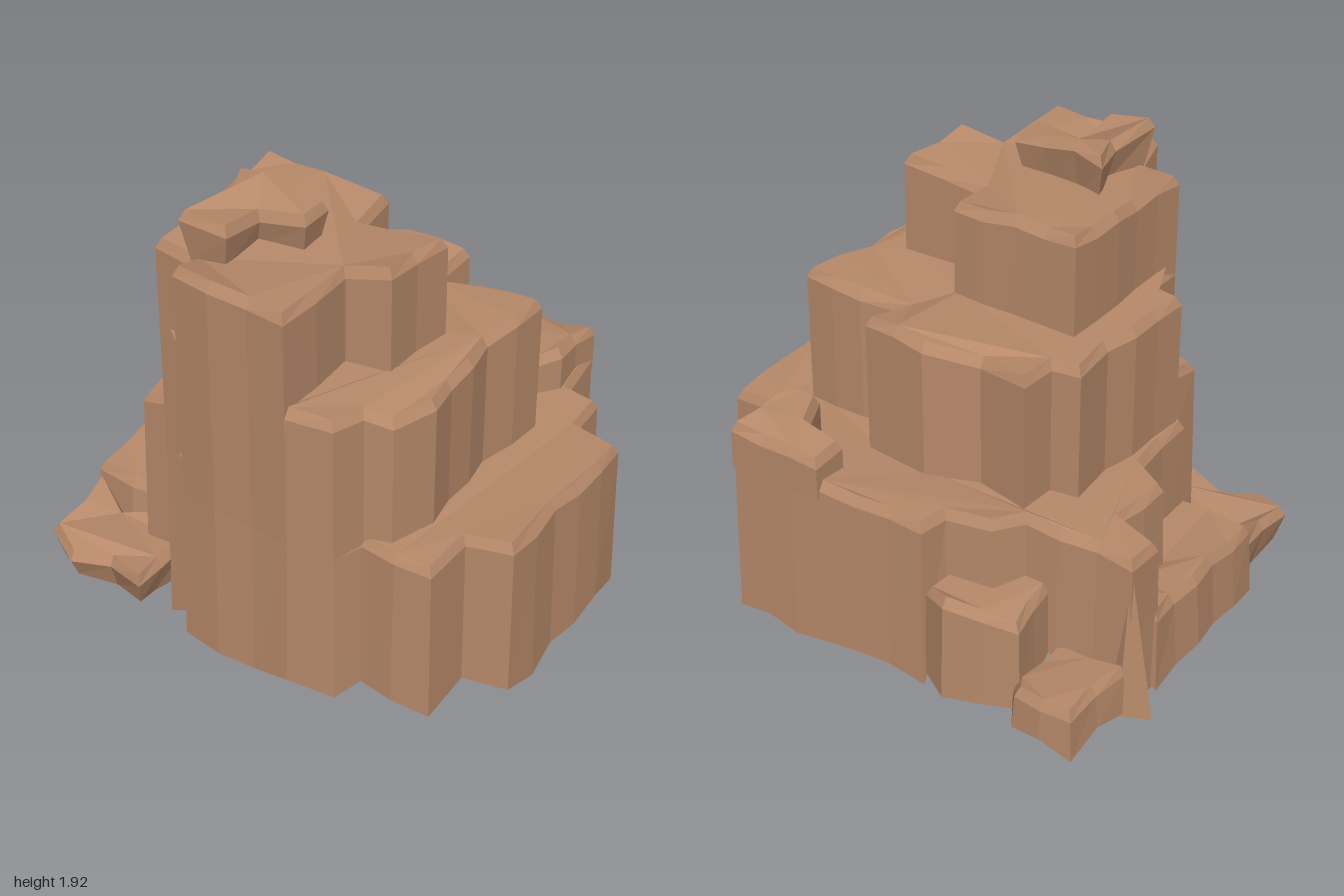
import * as THREE from 'three';

const rock = new THREE.MeshStandardMaterial({ color: 0xb88a6a, side: THREE.DoubleSide });
rock.name = 'sandstone';

// Position-based noise in -1..1, so shared cliff edges stay aligned
const noise = (x, z, k) => {
  const s = Math.sin(x * 127.1 + z * 311.7 + k * 74.7) * 43758.5453;
  return (s - Math.floor(s)) * 2 - 1;
};

// Outward direction of the outline at each point (outlines run back, right, front, left)
function outward(pts) {
  return pts.map((p, i) => {
    const a = pts[(i + pts.length - 1) % pts.length], b = pts[(i + 1) % pts.length];
    const n1 = new THREE.Vector2(p[1] - a[1], a[0] - p[0]).normalize();
    const n2 = new THREE.Vector2(b[1] - p[1], p[0] - b[0]).normalize();
    return n1.add(n2).normalize();
  });
}

// Break long edges into slightly uneven facets
function weather(pts) {
  const out = [];
  pts.forEach((a, i) => {
    const b = pts[(i + 1) % pts.length];
    const dx = b[0] - a[0], dz = b[1] - a[1], len = Math.hypot(dx, dz);
    const n = Math.max(1, Math.round(len / 0.15));
    out.push(a);
    for (let k = 1; k < n; k++) {
      const t = k / n, x = a[0] + dx * t, z = a[1] + dz * t, j = noise(x, z, 1) * 0.014;
      const mix = c => (a[c] || 0) * (1 - t) + (b[c] || 0) * t;
      out.push([x + dz / len * j, z - dx / len * j, mix(2) + noise(x, z, 2) * 0.012, mix(3)]);
    }
  });
  return out;
}

// Cliff wall with a worn rim and a cap; outline points are [x, z, topLift, bottomLift]
function ledge(name, outline, y0, y1, { hole = null, jag = 0, flare = 0 } = {}) {
  const pts = weather(outline), nrm = outward(pts), pos = [];
  const ring = (inset, yOf) => pts.map((p, i) =>
    [p[0] - nrm[i].x * inset, yOf(p), p[1] - nrm[i].y * inset]);
  const top = p => y1 + (p[2] || 0);
  const rings = [
    ring(-flare, p => y0 + (p[3] || 0) + noise(p[0], p[1], 3) * jag),
    ring(0, p => top(p) - 0.04),
    ring(0.025, top),
  ];
  for (let r = 0; r < 2; r++) {
    const lo = rings[r], hi = rings[r + 1];
    for (let i = 0; i < pts.length; i++) {
      const j = (i + 1) % pts.length;
      pos.push(...lo[j], ...lo[i], ...hi[i], ...lo[j], ...hi[i], ...hi[j]);
    }
  }
  // Cap, left open beneath the next ledge
  const inner = hole ? hole.map(p => [p[0], y1, p[1]]) : [];
  const flat = v => new THREE.Vector2(v[0], v[2]);
  const all = rings[2].concat(inner);
  const tris = THREE.ShapeUtils.triangulateShape(rings[2].map(flat), hole ? [inner.map(flat)] : []);
  for (const [a, b, c] of tris) {
    const A = all[a], B = all[b], C = all[c];
    const up = (B[2] - A[2]) * (C[0] - A[0]) - (B[0] - A[0]) * (C[2] - A[2]) > 0;
    pos.push(...A, ...(up ? B : C), ...(up ? C : B));
  }
  const geo = new THREE.BufferGeometry();
  geo.setAttribute('position', new THREE.Float32BufferAttribute(pos, 3));
  geo.computeVertexNormals();
  const mesh = new THREE.Mesh(geo, rock);
  mesh.name = name;
  return mesh;
}

const shrink = (pts, cx, cz, s) => pts.map(p => [cx + (p[0] - cx) * s, cz + (p[1] - cz) * s]);

export function createModel() {
  const model = new THREE.Group();
  model.name = 'terracedRock';

  // Tall front cliff shared by the main ledges
  const front = [[0.28, 0.77, 0.01], [-0.2, 0.74, 0.02], [-0.22, 0.6, -0.03], [-0.4, 0.58, -0.02, -0.135]];

  const tower = [[-0.4, -0.1, 0.02], [0.13, -0.1], [0.14, 0.08, -0.02], [0.48, 0.06, 0.02],
    [0.45, 0.37, 0.04], [0.28, 0.4], ...front];

  const middle = [[-0.42, -0.43], [-0.2, -0.39, -0.02], [0, -0.47, 0.01], [0.27, -0.45, 0.02],
    [0.24, -0.25, -0.02], [0.42, -0.3], [0.67, -0.3, 0.02], [0.62, 0], [0.66, 0.4, -0.02],
    [0.6, 0.58, -0.02], [0.5, 0.61], [0.46, 0.74, 0.01], ...front,
    [-0.42, 0.39], [-0.56, 0.37], [-0.55, 0.08], [-0.52, -0.06], [-0.54, -0.26], [-0.43, -0.28]];

  // Bottom edges are raised where a lower block stands in front
  const lower = [[-0.46, -0.47, 0.01, 0.3], [-0.4, -0.6, 0.03, 0.33], [-0.22, -0.63, 0.02, 0.33],
    [-0.2, -0.75, 0.02], [0.25, -0.77, 0.03], [0.64, -0.79, 0.04], [0.65, -0.6], [0.78, -0.59, -0.01],
    [0.79, -0.42, -0.01], [0.97, -0.41, -0.03], [0.975, 0.37, 0.01], [0.8, 0.41], [0.79, 0.62, -0.01],
    [0.5, 0.62], [0.46, 0.74], ...front, [-0.42, 0.4], [-0.58, 0.4, 0, 0.15], [-0.6, 0.08, 0, 0.2],
    [-0.74, 0, 0, 0.2], [-0.72, -0.25, 0, 0.2], [-0.9, -0.28, -0.03], [-0.9, -0.45, -0.02], [-0.6, -0.47, 0, 0.1]];

  model.add(
    ledge('lowerLedge', lower, 0.12, 0.8, { hole: shrink(middle, 0.1, 0.1, 0.95), jag: 0.03, flare: 0.015 }),
    ledge('middleLedge', middle, 0.75, 1.35, { hole: shrink(tower, 0, 0.3, 0.94) }),
    ledge('tower', tower, 1.3, 1.73),
  );

  // Bent crown stone on the summit, wider at its top
  model.add(ledge('crown', [[-0.28, 0.24, 0.01], [-0.15, 0.25, 0.04], [0.11, 0.25, 0],
    [0.11, 0.39, 0], [-0.07, 0.41, -0.03], [-0.07, 0.6, 0], [-0.26, 0.62, 0.02], [-0.22, 0.42, -0.01]],
  1.68, 1.87, { flare: -0.04 }));

  // Raised stone along the back ledge
  model.add(ledge('backStone', [[0.25, -0.78, -0.03], [0.64, -0.8], [0.63, -0.56, 0.02], [0.57, -0.47, 0.01],
    [0.48, -0.48, 0.01], [0.42, -0.61], [0.25, -0.63, -0.02]], 0.76, 0.96));

  // Low blocks stepping down around the flank, open on their buried sides
  model.add(
    ledge('backBlock', [[-0.6, -0.71, -0.02], [-0.32, -0.79, 0.02], [-0.21, -0.74], [-0.22, -0.62, 0, 0.35],
      [-0.4, -0.59, 0, 0.35], [-0.45, -0.46, 0, 0.35], [-0.56, -0.46, 0, 0.15]], 0.13, 0.55, { jag: 0.03, flare: 0.01 }),
    ledge('cornerBlock', [[-0.88, -0.79, 0.01], [-0.63, -0.78], [-0.58, -0.7, -0.02, 0.09], [-0.6, -0.45, -0.02, 0.09],
      [-0.9, -0.46, 0.02]], 0.13, 0.31, { jag: 0.03, flare: 0.01 }),
    ledge('sideShelf', [[-0.92, -0.3, 0.05], [-0.68, -0.28, 0.05, 0.2], [-0.7, 0, 0, 0.2], [-0.56, 0.1, 0, 0.2],
      [-0.55, 0.42], [-0.7, 0.44], [-0.88, 0.42]], 0.13, 0.42, { jag: 0.03, flare: 0.02 }),
    ledge('pillar', [[-0.53, 0.36, 0.01, 0.5], [-0.4, 0.36, 0, 0.5], [-0.4, 0.54], [-0.53, 0.54, -0.03]],
      0.13, 1, { jag: 0.03, flare: 0.02 }),
    ledge('footStone', [[-0.88, 0.41, 0.06], [-0.72, 0.47, -0.02], [-0.55, 0.42, 0.03], [-0.4, 0.5],
      [-0.4, 0.79], [-0.58, 0.74, -0.02], [-0.72, 0.81, -0.01], [-0.87, 0.73, 0.02]],
    0.13, 0.3, { jag: 0.05, flare: -0.04 }),
  );

  // Sharp fin at the outer corner
  const fin = new THREE.Mesh(new THREE.ConeGeometry(0.11, 0.64, 4, 1, true).toNonIndexed(), rock);
  fin.geometry.computeVertexNormals();
  fin.scale.z = 0.5;
  fin.position.set(-0.89, 0.43, -0.44);
  fin.name = 'cornerFin';
  model.add(fin);

  return model;
}
